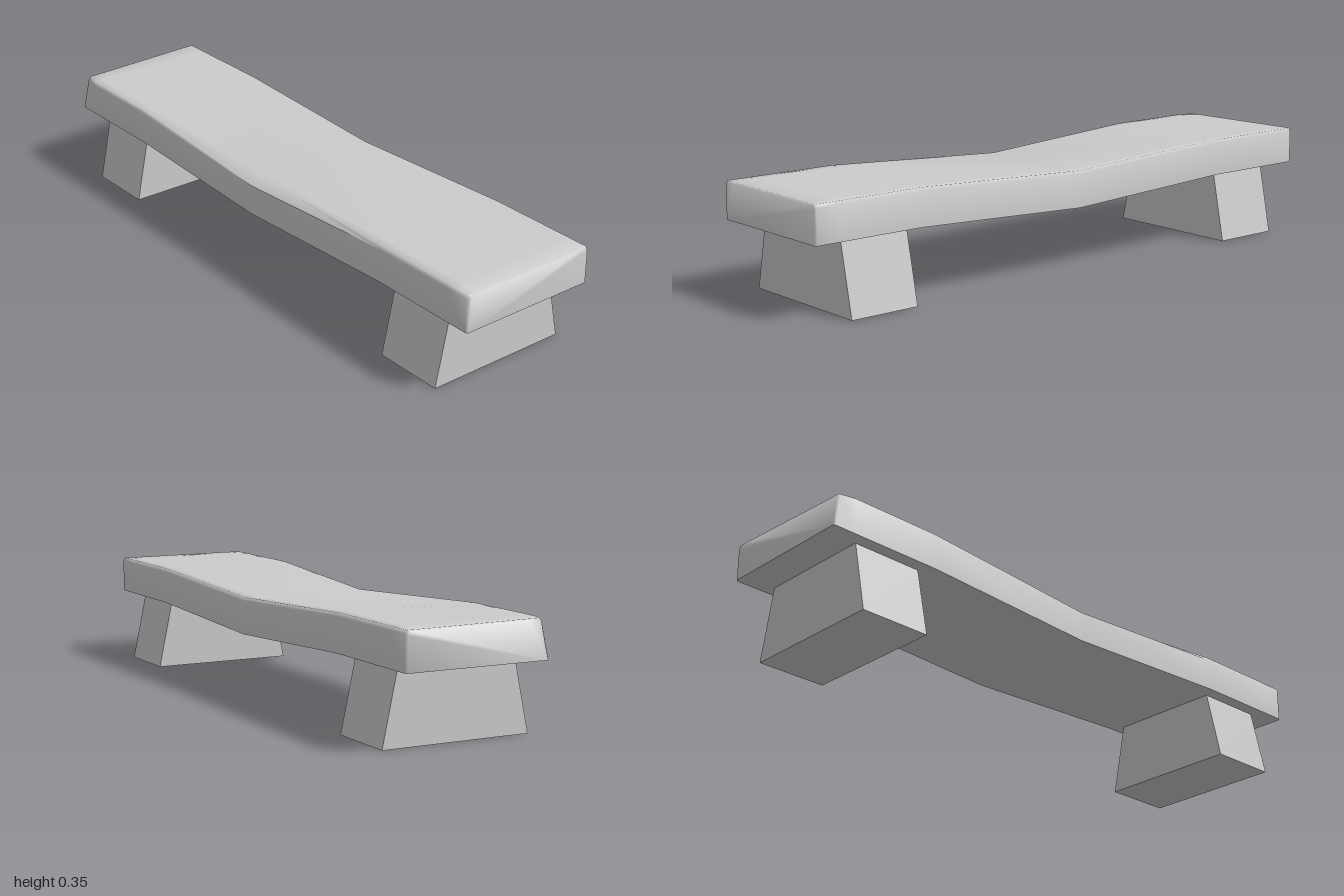
import * as THREE from 'three';
import { toCreasedNormals } from 'three/addons/utils/BufferGeometryUtils.js';

const material = new THREE.MeshStandardMaterial({ color: 0xcccccc });

// Half section of the slab, front side: [z, y] from the bottom up
const HALF = [[0.237, 0.233], [0.237, 0.341], [0.231, 0.352], [0.2, 0.352]];
const SECTION = [...HALF, ...HALF.map(([z, y]) => [-z, y]).reverse()];
const STATIONS = [-1, -0.994, -0.92, -0.62, 0, 0.62, 0.92, 0.994, 1];

// One slab vertex: sag in the middle, soft ends, worn front edge and corner
function slabPoint(x, i) {
  let [z, y] = SECTION[i];
  const top = i > 0 && i < SECTION.length - 1;
  const sag = Math.max(0, 1 - Math.abs(x) / 0.62);
  y -= 0.028 * sag;
  // front top edge worn back at mid-span
  if (i === 1) y -= 0.008 * sag;
  if (i === 2) z -= 0.041 * sag;
  if (i === 3) z -= 0.02 * sag;
  // small bevel around both ends
  if (Math.abs(x) === 1) {
    z -= Math.sign(z) * 0.005;
    if (top) y -= 0.004;
  }
  // chipped corner
  if (x < -0.99 && top && i < 4) {
    x += 0.02;
    z -= 0.012;
  }
  return [x, y, z];
}

function slabGeometry() {
  const n = SECTION.length;
  const positions = [];
  const index = [];
  STATIONS.forEach((x) => SECTION.forEach((_, i) => positions.push(...slabPoint(x, i))));
  for (let s = 0; s < STATIONS.length - 1; s++) {
    for (let i = 0; i < n; i++) {
      const a = s * n + i;
      const b = s * n + ((i + 1) % n);
      index.push(a, a + n, b, b, a + n, b + n);
    }
  }
  // end caps
  const last = (STATIONS.length - 1) * n;
  for (let i = 1; i < n - 1; i++) {
    index.push(0, i, i + 1);
    index.push(last, last + i + 1, last + i);
  }
  const geometry = new THREE.BufferGeometry();
  geometry.setAttribute('position', new THREE.Float32BufferAttribute(positions, 3));
  geometry.setIndex(index);
  return toCreasedNormals(geometry, Math.PI / 2.8);
}

// Block leg, narrower at the top than at the ground
function legGeometry() {
  const shape = new THREE.Shape([
    new THREE.Vector2(-0.245, 0),
    new THREE.Vector2(0.245, 0),
    new THREE.Vector2(0.197, 0.225),
    new THREE.Vector2(0.192, 0.236),
    new THREE.Vector2(-0.192, 0.236),
    new THREE.Vector2(-0.197, 0.225),
  ]);
  const geometry = new THREE.ExtrudeGeometry(shape, { depth: 0.236, bevelEnabled: false });
  return geometry.translate(0, 0, -0.118).rotateY(Math.PI / 2);
}

export function createModel() {
  const bench = new THREE.Group();
  bench.name = 'stoneBench';

  const seat = new THREE.Mesh(slabGeometry(), material);
  seat.name = 'seat';
  bench.add(seat);

  const geometry = legGeometry();
  for (const [name, side] of [['leftLeg', 1], ['rightLeg', -1]]) {
    const leg = new THREE.Mesh(geometry, material);
    leg.name = name;
    leg.position.x = side * 0.77;
    bench.add(leg);
  }
  return bench;
}
